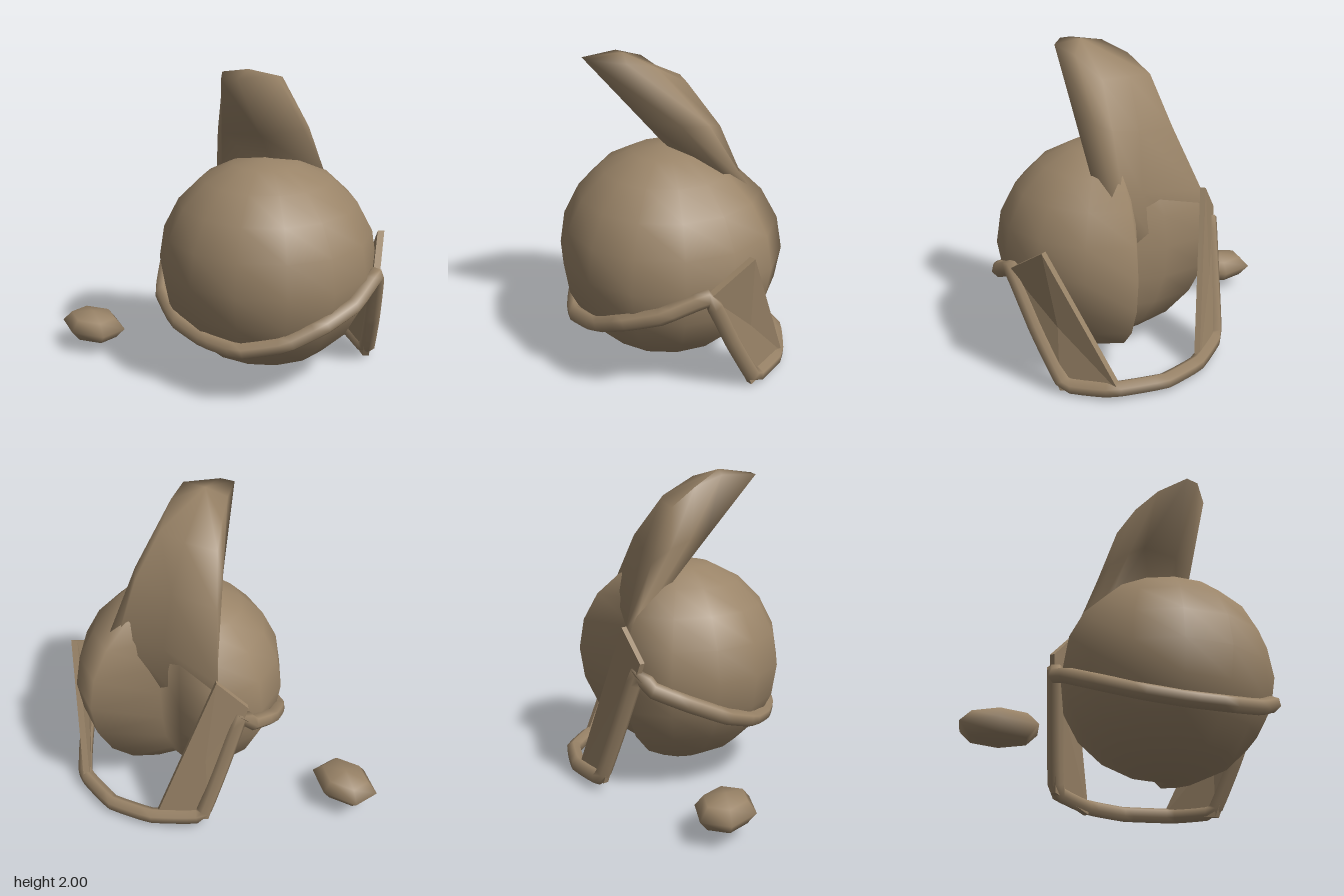
import * as THREE from 'three';
import { mergeVertices } from 'three/addons/utils/BufferGeometryUtils.js';

const bronze = new THREE.MeshStandardMaterial({ color: 0x9a8468, side: THREE.DoubleSide });
bronze.name = 'dull bronze';

const V = (p) => new THREE.Vector3(...p);

// Join rings of equal length into a skin, closing both ends with fans
function loft(rings, tips = []) {
  const pos = [];
  const tri = (a, b, c) => pos.push(...a, ...b, ...c);
  const n = rings[0].length;
  for (let s = 0; s < rings.length - 1; s++) {
    for (let i = 0; i < n; i++) {
      const j = (i + 1) % n;
      const [a, b, c, d] = [rings[s][i], rings[s][j], rings[s + 1][j], rings[s + 1][i]];
      tri(a, b, c);
      tri(a, c, d);
    }
  }
  [rings[0], rings[rings.length - 1]].forEach((ring, e) => {
    const mid = tips[e] || [0, 1, 2].map((k) => ring.reduce((t, p) => t + p[k], 0) / n);
    for (let i = 0; i < n; i++) {
      const j = (i + 1) % n;
      if (e) tri(ring[i], ring[j], mid);
      else tri(ring[j], ring[i], mid);
    }
  });
  const g = new THREE.BufferGeometry();
  g.setAttribute('position', new THREE.Float32BufferAttribute(pos, 3));
  g.computeVertexNormals();
  return g;
}

function smooth(g) {
  g.deleteAttribute('uv');
  g.deleteAttribute('normal');
  const m = mergeVertices(g, 1e-4);
  m.computeVertexNormals();
  return m;
}

export function createModel() {
  const group = new THREE.Group();
  const add = (name, geometry) => {
    const mesh = new THREE.Mesh(geometry, bronze);
    mesh.name = name;
    group.add(mesh);
    return mesh;
  };

  // Round body, fuller at the back and left, with a hollow pressed into two columns
  const ball = new THREE.SphereGeometry(0.675, 14, 10, Math.PI / 2);
  const p = ball.attributes.position;
  for (let i = 0; i < p.count; i++) {
    const [x, y, z] = [p.getX(i), p.getY(i), p.getZ(i)];
    const a = Math.atan2(-z, -x);
    if (Math.hypot(x, z) > 0.01 && a > 0.5 && a < 1.3) {
      const k = a > 0.9 ? 0.46 : 0.64;
      p.setXYZ(i, x * k, y, z * k);
    } else {
      p.setXYZ(i, x * (x > 0 ? 1.03 : 1.01), y, z * (z < 0 ? 1.08 : 0.99));
    }
  }
  add('body', smooth(ball)).position.set(0.25, 0.74, 0);

  // Crest leaning forward, from the hollow up to a rounded end
  const low = [[-0.28, 0.75, -0.03], [-0.3, 0.75, -0.05], [-0.33, 0.75, -0.09], [-0.36, 0.74, -0.13],
    [-0.06, 0.7, -0.18], [0.14, 0.7, -0.25], [0.25, 0.75, -0.28], [0.28, 0.8, -0.25], [0.15, 0.8, -0.1]];
  const base = [[-0.15, 1.2, -0.03], [-0.21, 1.18, -0.06], [-0.28, 1.15, -0.11], [-0.35, 1.06, -0.17],
    [0.08, 1.12, -0.27], [0.27, 1.2, -0.48], [0.34, 1.2, -0.5], [0.42, 1.22, -0.42], [0.22, 1.2, -0.18]];
  const waist = [[0.09, 1.58, 0.22], [0.0, 1.58, 0.14], [-0.11, 1.54, 0.05], [-0.19, 1.46, -0.05],
    [0.08, 1.5, -0.2], [0.28, 1.55, -0.33], [0.37, 1.58, -0.27], [0.46, 1.6, -0.11], [0.315, 1.58, 0.12]];
  const top = [[0.33, 1.97, 0.48], [0.17, 1.975, 0.3], [0.04, 1.91, 0.16], [-0.07, 1.79, 0.04],
    [0.1, 1.81, -0.08], [0.29, 1.82, -0.13], [0.41, 1.94, 0.04], [0.5, 1.98, 0.2], [0.41, 1.975, 0.43]];
  add('crest', smooth(loft([low, base, waist, top], [null, [0.32, 2.0, 0.24]])));

  // Tube that wraps the front, drops at both sides and rests on the ground behind
  const path = [
    [-0.45, 0.82, -0.06], [-0.45, 0.72, 0.04], [-0.4, 0.64, 0.24], [-0.23, 0.52, 0.45],
    [0.02, 0.43, 0.56], [0.28, 0.39, 0.58], [0.53, 0.385, 0.55], [0.75, 0.44, 0.39],
    [0.89, 0.54, 0.2], [0.945, 0.62, -0.02], [0.91, 0.73, -0.29],
    [0.8, 0.38, -0.43], [0.67, 0.055, -0.57], [0.42, 0.055, -0.72], [0.08, 0.055, -0.72],
    [-0.18, 0.055, -0.58], [-0.4, 0.08, -0.33], [-0.43, 0.45, -0.19],
  ].map(V);
  const loop = new THREE.CatmullRomCurve3(path, true, 'catmullrom', 0.12);
  add('wrapRing', new THREE.TubeGeometry(loop, 72, 0.052, 6, true));

  // Side plates between the raised corners of the loop and the ground bar
  const plate = (name, corners, [dx, dz]) =>
    add(name, loft([corners, corners.map(([x, y, z]) => [x + dx, y, z + dz])]));
  plate('leftPlate', [[0.93, 0.74, -0.3], [0.78, 0.92, -0.55],
    [0.38, 0.05, -0.76], [0.7, 0.01, -0.56]], [-0.03, 0.03]);
  plate('rightPlate', [[-0.49, 0.89, -0.03], [-0.37, 1.08, -0.19],
    [-0.2, 0.0, -0.58], [-0.44, 0.06, -0.3]], [0.03, 0.02]);

  // Small loose pebble in front
  const pebble = add('pebble', smooth(new THREE.SphereGeometry(1, 6, 4, Math.PI / 6)));
  pebble.scale.set(0.248, 0.1, 0.185);
  pebble.position.set(-0.785, 0.16, 0.585);

  return group;
}
